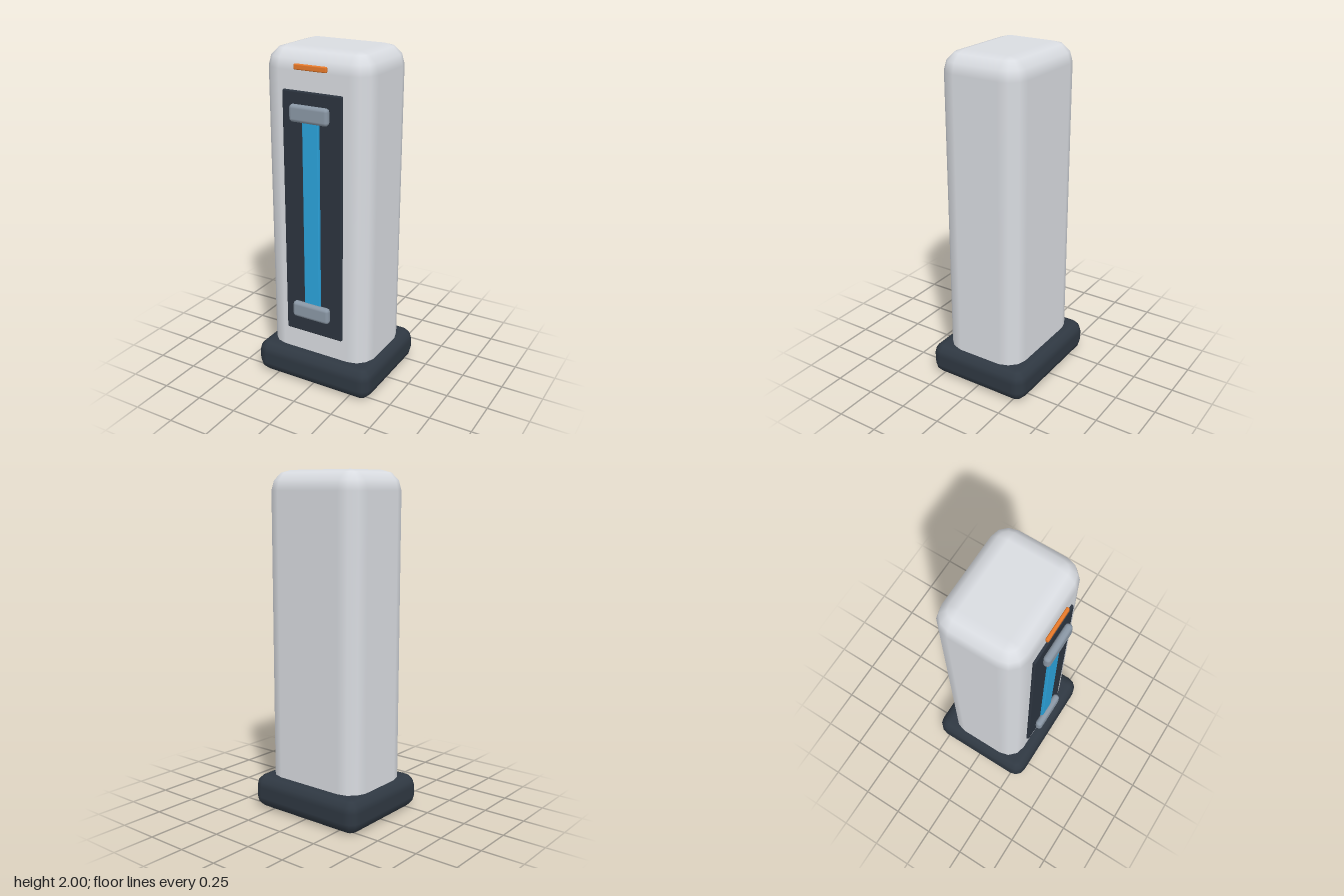
import * as THREE from 'three';

const STEPS = 3; // facets per rounded edge

// Box with rounded edges, built as stacked rings of rounded rectangles with smooth normals
function roundedBox(w, h, d, r) {
  const positions = [], normals = [], index = [];
  const cx = w / 2 - r, cy = h / 2 - r, cz = d / 2 - r;
  const corners = [[1, 1], [-1, 1], [-1, -1], [1, -1]];
  const ringSize = 4 * (STEPS + 1);
  for (const half of [-1, 1]) {
    for (let i = 0; i <= STEPS; i++) {
      const lat = (half < 0 ? i / STEPS - 1 : i / STEPS) * Math.PI / 2;
      corners.forEach(([sx, sz], c) => {
        for (let k = 0; k <= STEPS; k++) {
          const a = (c + k / STEPS) * Math.PI / 2;
          const n = [Math.cos(lat) * Math.cos(a), Math.sin(lat), Math.cos(lat) * Math.sin(a)];
          positions.push(sx * cx + r * n[0], half * cy + r * n[1], sz * cz + r * n[2]);
          normals.push(...n);
        }
      });
    }
  }
  const rings = 2 * (STEPS + 1);
  for (let j = 0; j < rings - 1; j++) {
    for (let i = 0; i < ringSize; i++) {
      const a = j * ringSize + i, b = j * ringSize + (i + 1) % ringSize;
      index.push(a, a + ringSize, b, b, a + ringSize, b + ringSize);
    }
  }
  // Flat bottom and top between the four corner points
  const q = STEPS + 1, t = (rings - 1) * ringSize;
  index.push(0, q, 2 * q, 0, 2 * q, 3 * q);
  index.push(t, t + 2 * q, t + q, t, t + 3 * q, t + 2 * q);
  const g = new THREE.BufferGeometry();
  g.setAttribute('position', new THREE.Float32BufferAttribute(positions, 3));
  g.setAttribute('normal', new THREE.Float32BufferAttribute(normals, 3));
  g.setIndex(index);
  return g;
}

export function createModel() {
  const model = new THREE.Group();
  model.name = 'tower';
  const paint = (color) => new THREE.MeshStandardMaterial({ color });
  const shell = paint(0xd9dce1), dark = paint(0x2f3842), panel = paint(0x2c343f);
  const steel = paint(0x8a97a5), blue = paint(0x2ba3db), orange = paint(0xe87a2a);

  // Adds a rounded block from its extents on each axis
  function block(name, material, [x0, x1], [y0, y1], [z0, z1], radius) {
    const mesh = new THREE.Mesh(roundedBox(x1 - x0, y1 - y0, z1 - z0, radius), material);
    mesh.position.set((x0 + x1) / 2, (y0 + y1) / 2, (z0 + z1) / 2);
    mesh.name = name;
    model.add(mesh);
  }

  // Plinth and main housing
  block('base', dark, [-0.385, 0.385], [0, 0.2], [-0.326, 0.326], 0.07);
  block('body', shell, [-0.33, 0.33], [0.08, 2], [-0.254, 0.254], 0.115);

  // Front panel with its light strip held between two brackets
  block('frontPanel', panel, [-0.185, 0.185], [0.333, 1.78], [0.24, 0.269], 0.008);
  block('lightStrip', blue, [-0.05, 0.05], [0.5, 1.66], [0.262, 0.287], 0.004);
  block('upperBracket', steel, [-0.12, 0.12], [1.618, 1.715], [0.271, 0.314], 0.02);
  block('lowerBracket', steel, [-0.12, 0.12], [0.443, 0.54], [0.271, 0.314], 0.02);

  // Indicator bar above the panel
  block('indicator', orange, [-0.1, 0.1], [1.895, 1.927], [0.265, 0.284], 0.007);

  return model;
}
